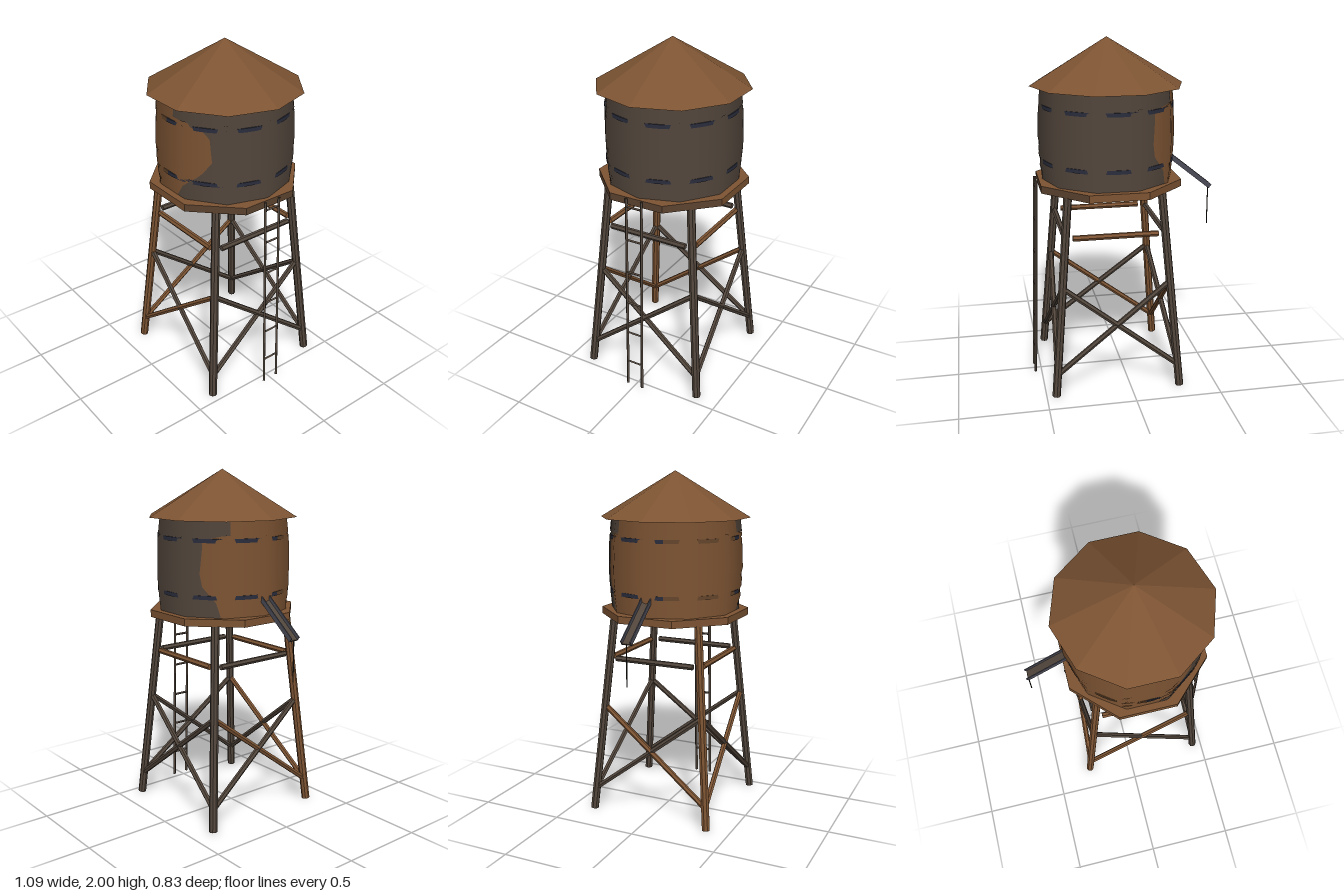
import * as THREE from 'three';
import { toCreasedNormals } from 'three/addons/utils/BufferGeometryUtils.js';

const paint = (name, color) => {
  const m = new THREE.MeshStandardMaterial({ color });
  m.name = name;
  return m;
};
const rust = paint('rusty brown', 0x7d5433);
const dark = paint('weathered dark wood', 0x52463c);
const shade = paint('deep brown', 0x5c432f);
const iron = paint('blue black iron', 0x2a2d3c);
const rustIron = paint('rusted iron', 0x65462c);
const slate = paint('slate metal', 0x4c4c58);
const rope = paint('rope', 0x2a2520);

const CX = 0.08; // tower axis
const V = (x, y, z) => new THREE.Vector3(x, y, z);
const rad = THREE.MathUtils.degToRad;

function flat(geometry) {
  const g = geometry.toNonIndexed();
  g.computeVertexNormals();
  return g;
}

function add(parent, name, geometry, material) {
  const m = new THREE.Mesh(geometry, material);
  m.name = name;
  parent.add(m);
  return m;
}

// straight bar between two points
function strut(parent, name, a, b, r, sides, material) {
  const m = add(parent, name, flat(new THREE.CylinderGeometry(r, r, a.distanceTo(b), sides)), material);
  m.position.copy(a).add(b).multiplyScalar(0.5);
  m.quaternion.setFromUnitVectors(V(0, 1, 0), b.clone().sub(a).normalize());
  return m;
}

// ten-sided bulging barrel: corner radius by height
const barrelRadius = (y) => 0.397 - 0.25 * (y - 1.46) ** 2;

// part of the barrel wall; rows are [height, first angle, last angle]
function barrelWall(rows, cols = 72) {
  const pos = [], nor = [], idx = [];
  rows.forEach(([y, from, to], j) => {
    for (let i = 0; i <= cols; i++) {
      const az = from + ((to - from) * i) / cols;
      const off = az - 36 * Math.round(az / 36);
      const r = (barrelRadius(y) * Math.cos(rad(18))) / Math.cos(rad(off));
      const s = Math.sin(rad(az)), c = Math.cos(rad(az));
      pos.push(r * s, y, r * c);
      nor.push(s, 0, c);
      if (j && i) {
        const d = j * (cols + 1) + i, b = d - cols - 1;
        idx.push(b - 1, b, d, b - 1, d, d - 1);
      }
    }
  });
  const g = new THREE.BufferGeometry();
  g.setAttribute('position', new THREE.Float32BufferAttribute(pos, 3));
  g.setAttribute('normal', new THREE.Float32BufferAttribute(nor, 3));
  g.setIndex(idx);
  return g;
}

export function createModel() {
  const model = new THREE.Group();
  model.name = 'waterTower';
  const tower = new THREE.Group();
  tower.name = 'tower';
  tower.position.x = CX;
  model.add(tower);

  // roof
  const roof = add(tower, 'roof', flat(new THREE.ConeGeometry(0.437, 0.263, 10, 1, false, Math.PI / 2)), [rust, rust, dark]);
  roof.position.y = 1.8685;

  // tank with a ragged rust patch on one half
  const patch = [
    [1.205, 230, 368], [1.29, 226, 377], [1.35, 218, 389], [1.38, 214, 394], [1.45, 212, 402],
    [1.58, 214, 400], [1.62, 214, 394], [1.635, 216, 384], [1.655, 230, 382], [1.66, 238, 365], [1.74, 238, 365],
  ];
  add(tower, 'tankRustPatch', barrelWall(patch), rust);
  add(tower, 'tankWall', barrelWall(patch.map(([y, a, b]) => [y, b, a + 360])), dark);

  // hoops, showing only at the middle of each tank face
  for (const y of [1.32, 1.63]) {
    const r = barrelRadius(y) * Math.cos(rad(18)) + 0.006;
    const profile = [[0.35, -0.011], [r, -0.011], [r, 0.011], [0.35, 0.011]].map(([x, h]) => new THREE.Vector2(x, y + h));
    const arc = (from, to) =>
      toCreasedNormals(new THREE.LatheGeometry(profile, Math.round((to - from) / 6), rad(from), rad(to - from)), 0.6);
    add(tower, 'hoop', arc(-2, 285), iron);
    add(tower, 'hoopRusted', arc(285, 358), rustIron);
  }

  // eight-sided platform, the ladder side darker
  const deck = new THREE.CylinderGeometry(0.433, 0.433, 0.042, 8, 1, false, Math.PI / 8);
  const [, top, bottom] = deck.groups;
  deck.clearGroups();
  deck.addGroup(0, 18, 1);
  deck.addGroup(18, 30, 0);
  deck.addGroup(top.start, top.count, 0);
  deck.addGroup(bottom.start, bottom.count, 2);
  add(tower, 'platform', flat(deck), [rust, shade, dark]).position.y = 1.186;

  // splayed legs
  const spread = (y) => 0.365 - 0.086 * y;
  for (const sx of [-1, 1]) {
    for (const sz of [-1, 1]) {
      const at = (y) => V(sx * spread(y), y, sz * spread(y));
      strut(tower, 'leg', at(0.003), at(1.17), 0.024, 8, sx < 0 && sz > 0 ? rust : dark);
    }
  }

  // braces on the four sides: front, ladder side, back, spout side
  const sideColours = [[rust, rust, dark], [dark, dark, dark], [rust, dark, dark], [dark, dark, rust]];
  sideColours.forEach(([beam, rising, falling], i) => {
    const side = new THREE.Group();
    side.name = 'sideBracing';
    side.rotation.y = (i * Math.PI) / 2;
    tower.add(side);
    strut(side, 'beam', V(-0.243, 0.93, 0.285), V(0.243, 0.93, 0.285), 0.017, 6, beam);
    const low = spread(0.14), high = spread(0.645);
    strut(side, 'braceRising', V(-low + 0.01, 0.14, low), V(high, 0.645, high), 0.016, 6, rising);
    strut(side, 'braceFalling', V(low - 0.01, 0.14, low), V(-high, 0.645, high), 0.016, 6, falling);
  });

  // ladder
  const ladder = new THREE.Group();
  ladder.name = 'ladder';
  model.add(ladder);
  for (const z of [-0.048, 0.048]) strut(ladder, 'ladderRail', V(0.537, 0.002, z), V(0.497, 1.208, z), 0.009, 4, dark);
  for (let i = 0; i < 6; i++) {
    const y = 0.16 + 0.2 * i, x = 0.537 - 0.0332 * y;
    strut(ladder, 'ladderRung', V(x, y, -0.048), V(x, y, 0.048), 0.007, 4, dark);
  }

  // open spout channel
  const inner = V(-0.285, 1.315, 0), outer = V(-0.537, 1.113, 0);
  const length = inner.distanceTo(outer);
  const u = new THREE.Shape(
    [[-0.031, -0.014], [0.031, -0.014], [0.031, 0.014], [0.025, 0.014], [0.025, -0.008], [-0.025, -0.008], [-0.025, 0.014], [-0.031, 0.014]]
      .map(([x, y]) => new THREE.Vector2(x, y)));
  const spout = new THREE.Group();
  spout.name = 'spout';
  add(spout, 'spoutChannel', new THREE.ExtrudeGeometry(u, { depth: length, bevelEnabled: false }), slate);
  add(spout, 'spoutBed', new THREE.BoxGeometry(0.05, 0.003, length), dark).position.set(0, -0.0065, length / 2);
  spout.position.copy(inner);
  spout.lookAt(outer);
  model.add(spout);

  // pull rope
  strut(model, 'pullRope', V(-0.532, 1.11, 0), V(-0.532, 0.872, 0), 0.0035, 5, rope);

  return model;
}
